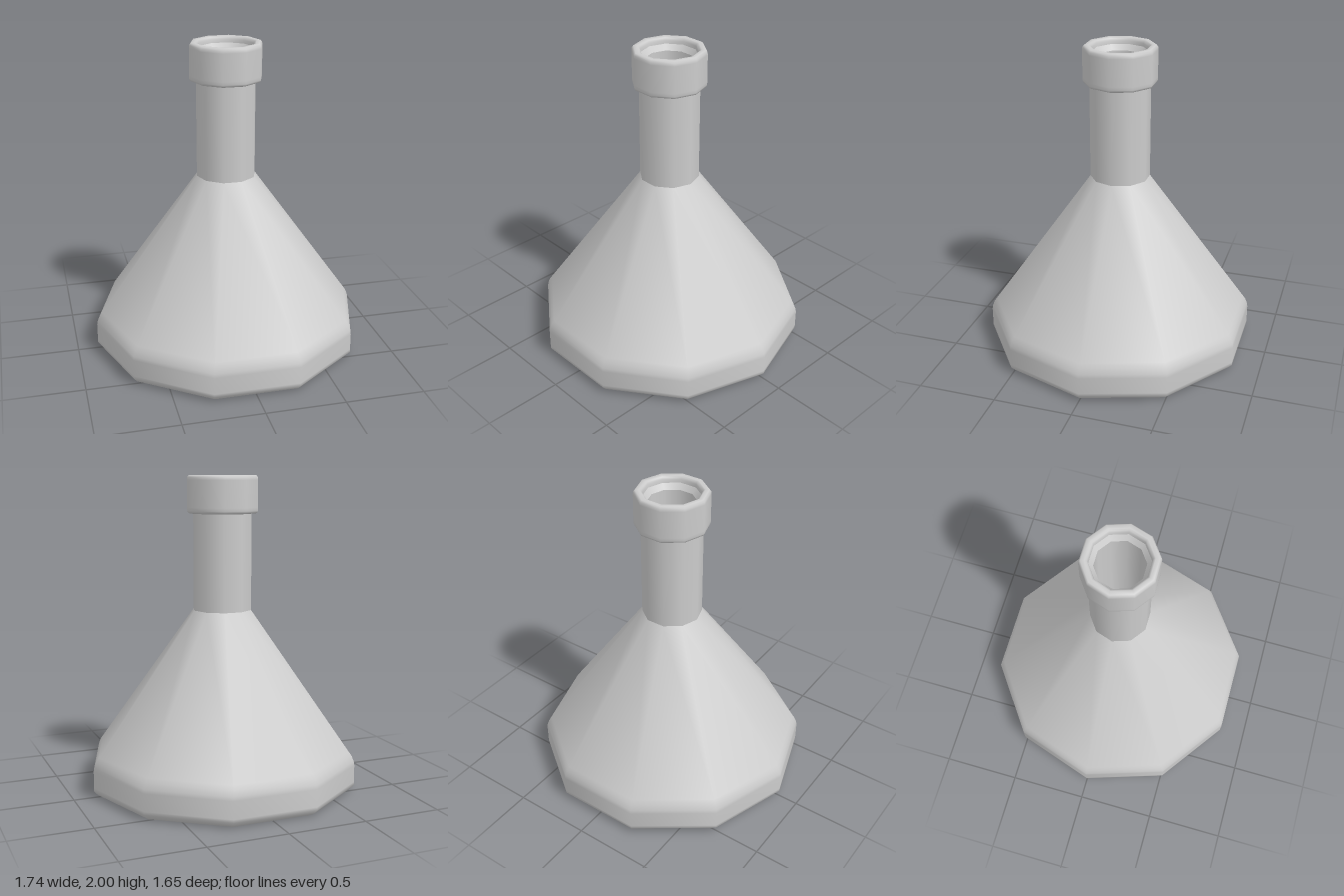
import * as THREE from 'three';

const SIDES = 10;

export function createModel() {
  const group = new THREE.Group();
  const material = new THREE.MeshStandardMaterial({ color: 0xcccccc });

  // Ten-sided turned part, with corners on the x axis; profile is [radius, y] pairs
  function turned(name, profile) {
    const points = profile.map(([r, y]) => new THREE.Vector2(r, y));
    const mesh = new THREE.Mesh(new THREE.LatheGeometry(points, SIDES, Math.PI / 2), material);
    mesh.name = name;
    group.add(mesh);
  }

  // Outer shell, from the base upwards
  turned('base', [[0, 0], [0.825, 0]]);
  turned('body', [
    [0.825, 0], [0.845, 0.012], [0.87, 0.04], [0.87, 0.06], [0.87, 0.17],
    [0.866, 0.195], [0.852, 0.23], [0.834, 0.255], [0.19, 1.15],
  ]);
  turned('neck', [[0.19, 1.15], [0.19, 1.77]]);

  // Collar with softened edges around the mouth
  turned('collar', [
    [0.185, 1.763], [0.215, 1.763], [0.226, 1.768], [0.231, 1.78], [0.231, 1.8],
    [0.231, 1.97], [0.229, 1.988], [0.219, 2], [0.195, 2],
    [0.184, 1.994], [0.178, 1.98], [0.176, 1.96],
  ]);
  turned('mouth', [[0.176, 1.96], [0.15, 1.925]]);

  // Hollow inside, from the mouth down to the floor
  turned('innerNeck', [[0.15, 1.925], [0.15, 1.14]]);
  turned('innerBody', [[0.15, 1.14], [0.8, 0.235], [0.825, 0.17], [0.825, 0.05]]);
  turned('innerFloor', [[0.825, 0.05], [0, 0.05]]);

  return group;
}
